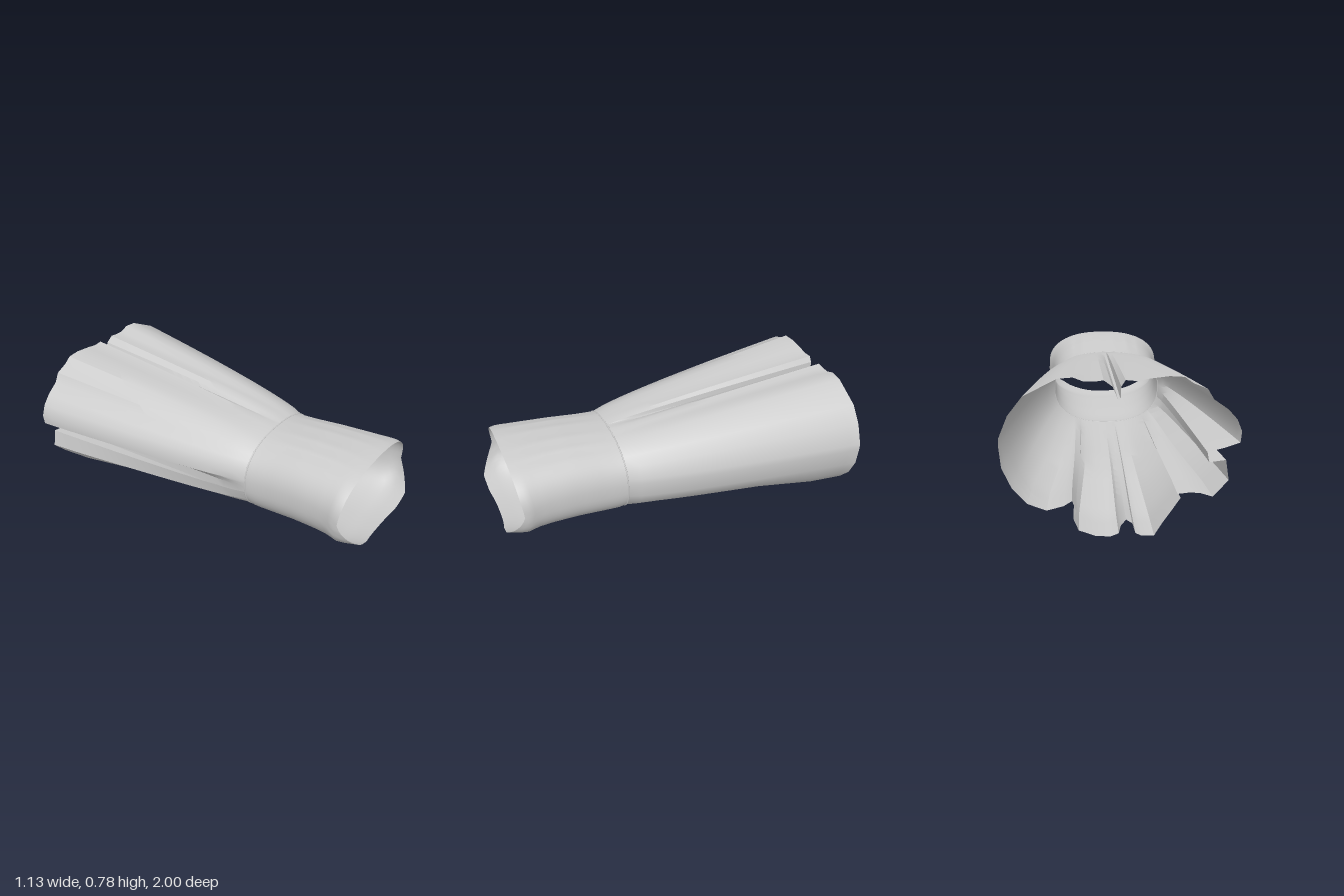
import * as THREE from 'three';
import { toCreasedNormals } from 'three/addons/utils/BufferGeometryUtils.js';

const WAIST_Z = 0.32;

// Linear lookup in a list of [key, value...] rows
function lookup(rows, k, col = 1) {
  if (k <= rows[0][0]) return rows[0][col];
  for (let i = 1; i < rows.length; i++) {
    const a = rows[i - 1], b = rows[i];
    if (k <= b[0]) return a[col] + (b[col] - a[col]) * (k - a[0]) / (b[0] - a[0]);
  }
  return rows[rows.length - 1][col];
}

// Bodice sections: z, half width, top y, bottom y
const BODICE = [
  [0.32, 0.325, 0.64, 0.19], [0.36, 0.323, 0.644, 0.18], [0.45, 0.32, 0.655, 0.184],
  [0.6, 0.325, 0.672, 0.2], [0.75, 0.337, 0.68, 0.212], [0.83, 0.35, 0.68, 0.218],
  [0.89, 0.37, 0.676, 0.22], [0.93, 0.362, 0.67, 0.225], [1.0, 0.335, 0.66, 0.235],
];

// Neckline and armhole edge: z by normalised height around the section
const EDGE = [[-1, 0.98], [-0.9, 0.995], [-0.65, 1.0], [-0.25, 0.945], [0, 0.91], [0.35, 0.92], [1, 0.932]];

// Bottom skirt flare: distance down the skirt, share of the hem shape
const BOTTOM_FLARE = [[0, 0], [0.24, 0.17], [0.4, 0.28], [0.55, 0.44], [0.7, 0.68], [0.85, 0.92], [1, 1]];

// Folded hem outline, counterclockwise seen from the front
const HEM = [
  [0.565, 0.46], [0.565, 0.50], [0.52, 0.61], [0.45, 0.70], [0.35, 0.75], [0.29, 0.78], [0.22, 0.785],
  [0.17, 0.765], [0.12, 0.765], [0.08, 0.77], [0.04, 0.74], [0.015, 0.68], [0.003, 0.68], [0, 0.74],
  [-0.02, 0.77], [-0.07, 0.765], [-0.13, 0.775], [-0.22, 0.785], [-0.29, 0.78], [-0.33, 0.75],
  [-0.40, 0.72], [-0.43, 0.67], [-0.50, 0.62], [-0.545, 0.57], [-0.57, 0.51], [-0.565, 0.455],
  [-0.49, 0.43], [-0.41, 0.41], [-0.42, 0.36], [-0.50, 0.37], [-0.515, 0.27], [-0.44, 0.19],
  [-0.38, 0.21], [-0.33, 0.215], [-0.27, 0.21], [-0.285, 0.19], [-0.25, 0.14], [-0.20, 0.07],
  [-0.16, 0.005], [-0.10, 0.005], [-0.07, 0.02], [-0.055, 0.07], [-0.025, 0.09], [0, 0.06],
  [0.01, 0.02], [0.05, 0.005], [0.12, 0.01], [0.20, 0.04], [0.225, 0.10], [0.21, 0.14],
  [0.23, 0.19], [0.27, 0.165], [0.35, 0.145], [0.44, 0.18], [0.51, 0.26], [0.555, 0.36],
];

// Rounded-rectangle-like oval section of the bodice
function oval(angle, z) {
  const c = Math.cos(angle), s = Math.sin(angle);
  const w = lookup(BODICE, z, 1), top = lookup(BODICE, z, 2), bottom = lookup(BODICE, z, 3);
  const p = 2 / 2.4;
  return new THREE.Vector3(
    Math.sign(c) * Math.abs(c) ** p * w,
    (top + bottom) / 2 + Math.sign(s) * Math.abs(s) ** p * (top - bottom) / 2,
    z,
  );
}

// Open cloth tube from a grid of closed rings running towards the front
function cloth(name, columns, rows, pointAt, crease) {
  const pos = [], index = [];
  for (let r = 0; r <= rows; r++) {
    for (let c = 0; c < columns; c++) pos.push(...pointAt(c, r / rows).toArray());
  }
  for (let r = 0; r < rows; r++) {
    for (let c = 0; c < columns; c++) {
      const a = r * columns + c, b = r * columns + (c + 1) % columns;
      index.push(a, b, b + columns, a, b + columns, a + columns);
    }
  }
  const g = new THREE.BufferGeometry();
  g.setAttribute('position', new THREE.Float32BufferAttribute(pos, 3));
  g.setIndex(index);
  const mesh = new THREE.Mesh(
    toCreasedNormals(g, crease),
    new THREE.MeshStandardMaterial({ color: 0xcccccc, side: THREE.DoubleSide }),
  );
  mesh.name = name;
  return mesh;
}

export function createModel() {
  const dress = new THREE.Group();
  dress.name = 'dress';

  // Bodice, ending in a shaped neckline with armhole dips
  const sides = 72;
  dress.add(cloth('bodice', sides, 20, (c, v) => {
    const angle = c / sides * Math.PI * 2;
    const end = lookup(EDGE, Math.sin(angle));
    const p = oval(angle, WAIST_Z + (end - WAIST_Z) * v);
    // Narrow vertical tucks on the upper panel
    if (Math.sin(angle) > 0.8 && c % 3 === 0) p.y -= 0.006 * Math.sin(Math.PI * v);
    return p;
  }, 0.7));

  // Flared skirt, its folds growing from the waist to the hem
  dress.add(cloth('skirt', HEM.length, 20, (c, v) => {
    const t = 1 - v;
    const [x, y] = HEM[c];
    const angle = Math.atan2((y - 0.42) / 0.37, x / 0.57);
    const low = THREE.MathUtils.smoothstep(-Math.sin(angle), 0.3, 0.9);
    const flare = THREE.MathUtils.lerp(t ** 0.75, lookup(BOTTOM_FLARE, t), low);
    const hemZ = -1 + 0.03 * Math.max(0, -Math.cos(angle)) ** 2;
    const p = oval(angle, WAIST_Z);
    p.lerp(new THREE.Vector3(x, y, 0), flare);
    p.z = WAIST_Z + (hemZ - WAIST_Z) * t;
    return p;
  }, 0.5));

  // Thin waist seam
  const seam = Array.from({ length: 48 }, (_, i) => oval(i / 48 * Math.PI * 2, WAIST_Z + 0.004));
  const seamMesh = new THREE.Mesh(
    new THREE.TubeGeometry(new THREE.CatmullRomCurve3(seam, true), 96, 0.004, 6, true),
    new THREE.MeshStandardMaterial({ color: 0xcccccc }),
  );
  seamMesh.name = 'waistSeam';
  dress.add(seamMesh);

  return dress;
}
